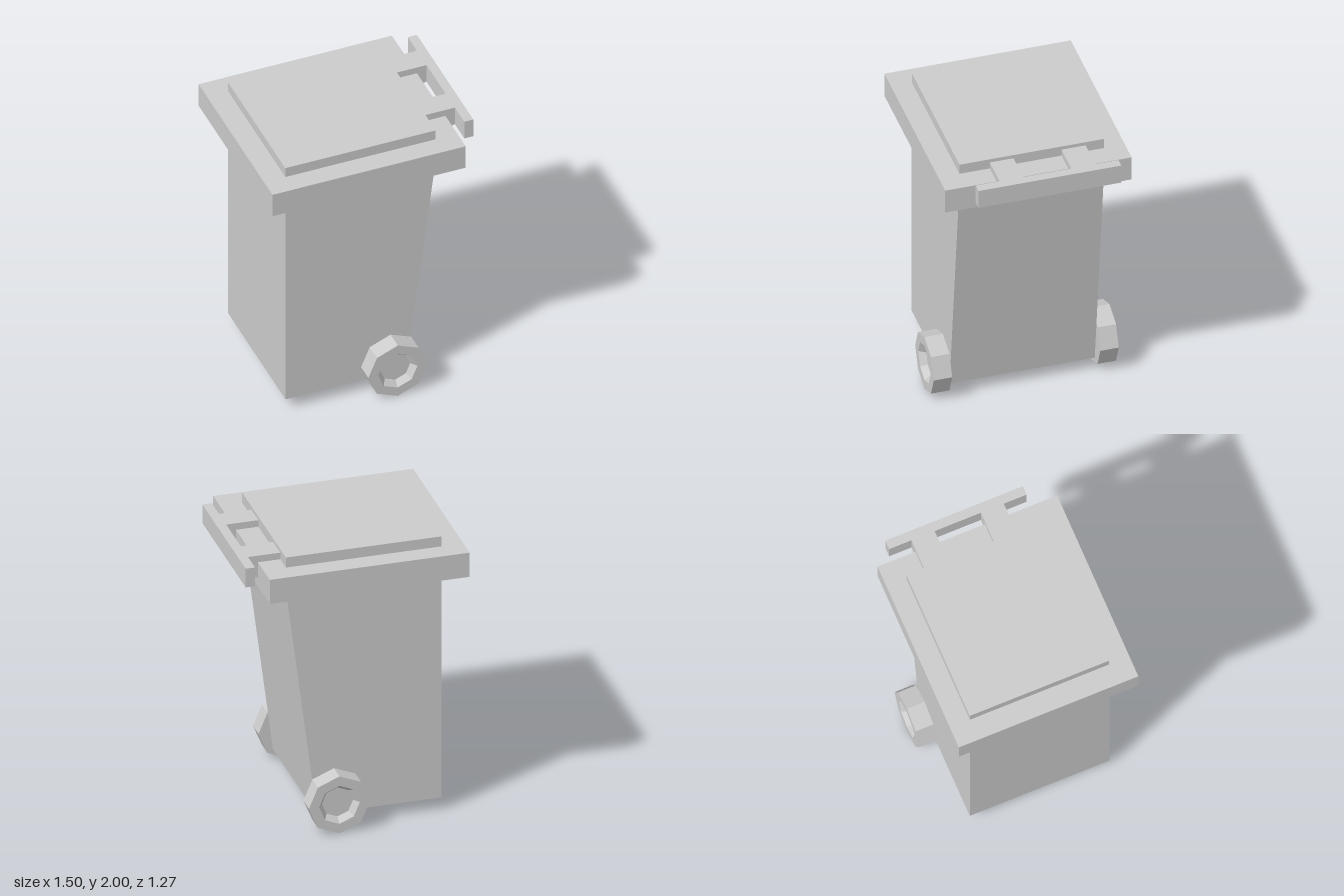
import * as THREE from 'three';

const material = new THREE.MeshStandardMaterial({ color: 0xcccccc, flatShading: true });

function addMesh(parent, name, geometry) {
  const mesh = new THREE.Mesh(geometry, material);
  mesh.name = name;
  parent.add(mesh);
  return mesh;
}

// Box given by its limits on each axis
function addBox(parent, name, [x0, x1], [y0, y1], [z0, z1]) {
  const mesh = addMesh(parent, name, new THREE.BoxGeometry(x1 - x0, y1 - y0, z1 - z0));
  mesh.position.set((x0 + x1) / 2, (y0 + y1) / 2, (z0 + z1) / 2);
  return mesh;
}

// Side profile in x and y, extruded from z0 to z1
function addProfile(parent, name, points, z0, z1) {
  const shape = new THREE.Shape(points.map(([x, y]) => new THREE.Vector2(x, y)));
  const geometry = new THREE.ExtrudeGeometry(shape, { depth: z1 - z0, bevelEnabled: false });
  geometry.translate(0, 0, z0);
  return addMesh(parent, name, geometry);
}

export function createModel() {
  const bin = new THREE.Group();
  bin.name = 'wheeledBin';

  // Body with one sloping wall on the handle side
  addProfile(bin, 'body', [[-0.6, 0.09], [0.25, 0.09], [0.462, 1.76], [-0.6, 1.76]], -0.497, 0.495);

  // Lid: wide rim and raised panel
  const lid = new THREE.Group();
  lid.name = 'lid';
  bin.add(lid);
  addBox(lid, 'lidRim', [-0.75, 0.615], [1.75, 1.927], [-0.638, 0.636]);
  addBox(lid, 'lidPanel', [-0.6, 0.462], [1.92, 2], [-0.497, 0.492]);

  // Handle: two arms with a chamfered underside, and a grip bar
  const handle = new THREE.Group();
  handle.name = 'handle';
  bin.add(handle);
  const arm = [[0.45, 1.9], [0.6, 1.815], [0.615, 1.815], [0.682, 1.84], [0.682, 1.975], [0.45, 1.975]];
  for (const [z0, z1] of [[-0.37, -0.205], [0.123, 0.285]]) addProfile(handle, 'handleArm', arm, z0, z1);
  addBox(handle, 'handleBar', [0.682, 0.746], [1.838, 1.975], [-0.528, 0.448]);

  // Eight-sided wheels with a tapered recess on the outer face
  const width = 0.126, depth = 0.045;
  const section = [[0, 0], [0.208, 0], [0.208, width], [0.139, width], [0.106, width - depth], [0, width - depth]];
  const wheelGeometry = new THREE.LatheGeometry(section.map(([r, y]) => new THREE.Vector2(r, y)), 8);
  for (const side of [1, -1]) {
    const wheel = addMesh(bin, side > 0 ? 'frontWheel' : 'backWheel', wheelGeometry);
    wheel.position.set(0.137, 0.208, side * 0.506);
    wheel.rotation.x = side * Math.PI / 2;
  }

  return bin;
}
